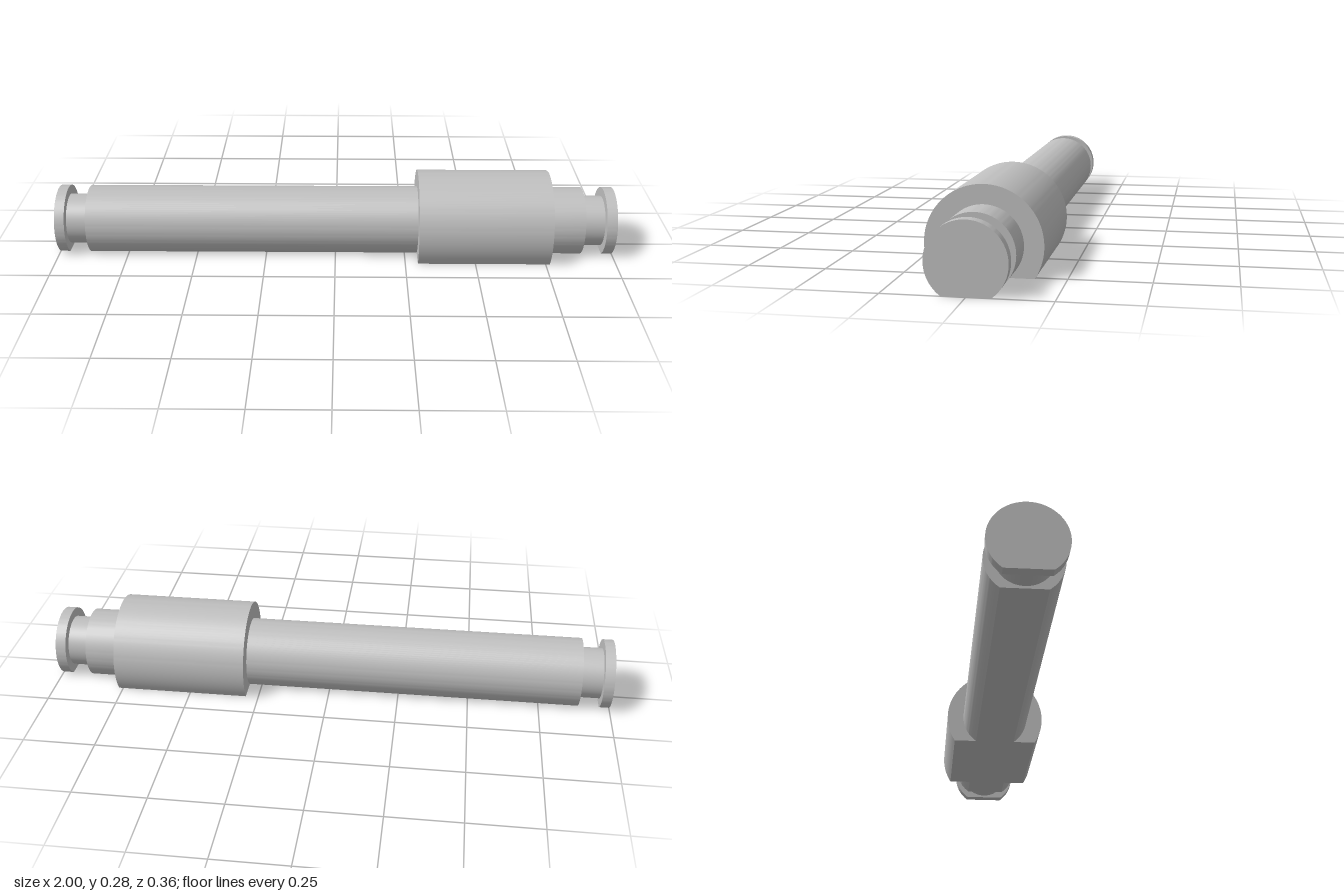
import * as THREE from 'three';
import { toCreasedNormals } from 'three/addons/utils/BufferGeometryUtils.js';

const AXIS_Y = 0.098; // height of the shaft axis above the flat underside

export function createModel() {
  const group = new THREE.Group();
  const steel = new THREE.MeshStandardMaterial({ color: 0xbfbfbf });
  steel.name = 'steel grey';

  function add(name, geometry) {
    const mesh = new THREE.Mesh(geometry, steel);
    mesh.name = name;
    group.add(mesh);
    return mesh;
  }

  // Round bar along x with its underside cut flat at y = 0
  function flattedBar(name, x0, x1, radius) {
    const cut = Math.asin(AXIS_Y / radius);
    const shape = new THREE.Shape();
    shape.absarc(0, AXIS_Y, radius, -cut, Math.PI + cut, false);
    shape.closePath();
    const geometry = new THREE.ExtrudeGeometry(shape, {
      depth: x1 - x0, bevelEnabled: false, curveSegments: 40,
    });
    geometry.rotateY(Math.PI / 2);
    geometry.translate(x0, 0, 0);
    add(name, toCreasedNormals(geometry, 0.4));
  }

  // Full round groove, slim enough to clear the flat
  function neck(name, x0, x1) {
    const geometry = new THREE.CylinderGeometry(0.09, 0.09, x1 - x0, 72, 1, true);
    geometry.rotateZ(Math.PI / 2);
    add(name, geometry).position.set((x0 + x1) / 2, AXIS_Y, 0);
  }

  const shaftR = 0.1215, collarR = 0.182;
  flattedBar('rightEndDisc', -1, -0.965, shaftR);
  neck('rightGroove', -0.965, -0.89);
  flattedBar('longShaft', -0.89, 0.295, shaftR);
  flattedBar('collar', 0.295, 0.765, collarR);
  flattedBar('shortShaft', 0.765, 0.888, shaftR);
  neck('leftGroove', 0.888, 0.963);
  flattedBar('leftEndDisc', 0.963, 1, shaftR);

  return group;
}
